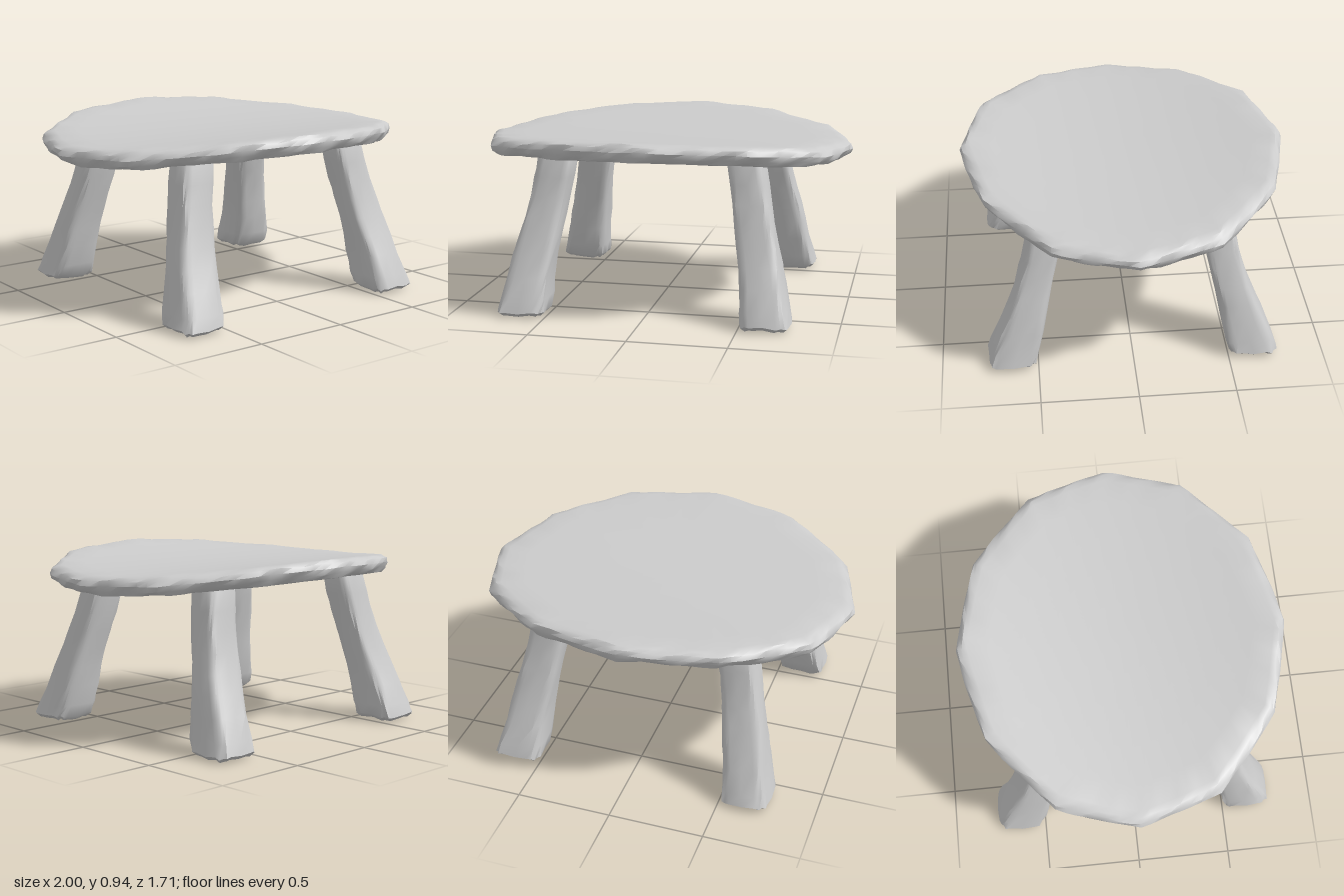
import * as THREE from 'three';
import { toCreasedNormals } from 'three/addons/utils/BufferGeometryUtils.js';

const material = new THREE.MeshStandardMaterial({ color: 0xcccccc });

// Smooth repeatable wobble in the range -1..1
const wobble = (a, b, seed) =>
  (Math.sin(a * 3 + b * 2.3 + seed) + Math.sin(a * 7 - b * 3.1 + seed * 2.7) + Math.sin(a * 13 + b * 5.7 + seed * 1.9)) / 3;

// Skin over closed rings listed from the underside to the top; both ends are single points
function loft(rings, crease) {
  const n = rings[0].length;
  const index = [];
  for (let j = 0; j < rings.length - 1; j++) {
    for (let i = 0; i < n; i++) {
      const k = (i + 1) % n;
      const a = j * n + i, b = j * n + k, c = a + n, d = b + n;
      if (j > 0) index.push(a, c, b);
      if (j < rings.length - 2) index.push(b, c, d);
      if (j === 0) index.push(); // the first row is a fan, closed by the second triangle
    }
  }
  const geometry = new THREE.BufferGeometry();
  geometry.setAttribute('position', new THREE.Float32BufferAttribute(rings.flat(2), 3));
  geometry.setIndex(index);
  return toCreasedNormals(geometry, crease);
}

// Twelve-sided slab with a worn rim, dished along z
function createSeat() {
  const quarter = [[1, 0], [0.87, 0.42], [0.49, 0.74], [0, 0.86]];
  const corners = [
    ...quarter,
    ...quarter.slice(0, 3).reverse().map(([x, z]) => [-x, z]),
    ...quarter.slice(1).map(([x, z]) => [-x, -z]),
    ...quarter.slice(1, 3).reverse().map(([x, z]) => [x, -z]),
  ];
  const steps = 8;
  const outline = [];
  corners.forEach(([x, z], c) => {
    const [x2, z2] = corners[(c + 1) % corners.length];
    for (let s = 0; s < steps; s++) {
      const t = s / steps;
      const bulge = 1 + 0.03 * t * (1 - t);
      outline.push([(x + (x2 - x) * t) * bulge, (z + (z2 - z) * t) * bulge]);
    }
  });
  // [scale of the outline, height above the underside, roughness]
  const profile = [
    [0, 0, 0], [0.3, 0, 0], [0.6, 0, 0], [0.85, 0, 0.2], [0.965, 0.004, 1], [0.99, 0.025, 1],
    [1, 0.05, 0.5], [0.99, 0.075, 1], [0.965, 0.09, 0.8], [0.93, 0.097, 0.2],
    [0.8, 0.1, 0], [0.6, 0.102, 0], [0.4, 0.103, 0], [0.2, 0.104, 0], [0, 0.104, 0],
  ];
  const rings = profile.map(([scale, h, rough], j) => outline.map(([x, z], i) => {
    const a = i / outline.length * Math.PI * 2;
    const r = scale * (1 + 0.01 * rough * (wobble(a * 2, j * 0.4, 1) - 0.3));
    const px = x * r, pz = z * r;
    const y = 0.77 + 0.085 * (pz / 0.86) ** 2 + h + 0.008 * rough * wobble(a * 2, j * 0.3, 4);
    return [px, y, pz];
  }));
  const seat = new THREE.Mesh(loft(rings, 0.7), material);
  seat.name = 'seat';
  return seat;
}

// Splayed leg, roughly square in section and widening toward the foot
function createLeg(name, sx, sz, seed) {
  // [height, inner x, outer x, inner z, outer z, inset toward the middle]
  const sections = [
    [0.01, 0.51, 0.755, 0.51, 0.755, 0], [0.01, 0.51, 0.755, 0.51, 0.755, 0.85],
    [0.03, 0.505, 0.76, 0.505, 0.76, 1], [0.09, 0.5, 0.745, 0.485, 0.74, 1],
    [0.2, 0.495, 0.72, 0.46, 0.69, 1], [0.3, 0.48, 0.7, 0.445, 0.65, 1],
    [0.4, 0.465, 0.675, 0.425, 0.61, 1], [0.5, 0.45, 0.65, 0.4, 0.58, 1],
    [0.6, 0.435, 0.63, 0.375, 0.55, 1], [0.7, 0.415, 0.61, 0.355, 0.53, 1],
    [0.8, 0.4, 0.59, 0.34, 0.51, 1], [0.84, 0.4, 0.585, 0.34, 0.505, 0.9],
    [0.84, 0.4, 0.585, 0.34, 0.505, 0],
  ];
  const sides = 24;
  const squarish = v => Math.sign(v) * Math.abs(v) ** 0.45;
  const rings = sections.map(([y, x0, x1, z0, z1, inset]) => Array.from({ length: sides }, (_, i) => {
    const a = i / sides * Math.PI * 2;
    const r = inset * (1 + 0.07 * (wobble(a, y * 5, seed) - 0.2));
    const lift = inset > 0 && y < 0.05 ? 0.01 * wobble(a, 0, seed + 2) : 0;
    return [
      sx * (x0 + x1) / 2 + squarish(Math.cos(a)) * r * (x1 - x0) / 2,
      y + lift,
      sz * (z0 + z1) / 2 + squarish(Math.sin(a)) * r * (z1 - z0) / 2,
    ];
  }));
  const leg = new THREE.Mesh(loft(rings, 0.9), material);
  leg.name = name;
  return leg;
}

export function createModel() {
  const stool = new THREE.Group();
  stool.name = 'stool';
  stool.add(
    createSeat(),
    createLeg('frontLeftLeg', 1, 1, 1),
    createLeg('frontRightLeg', -1, 1, 2.4),
    createLeg('backLeftLeg', 1, -1, 3.9),
    createLeg('backRightLeg', -1, -1, 5.2),
  );
  return stool;
}
